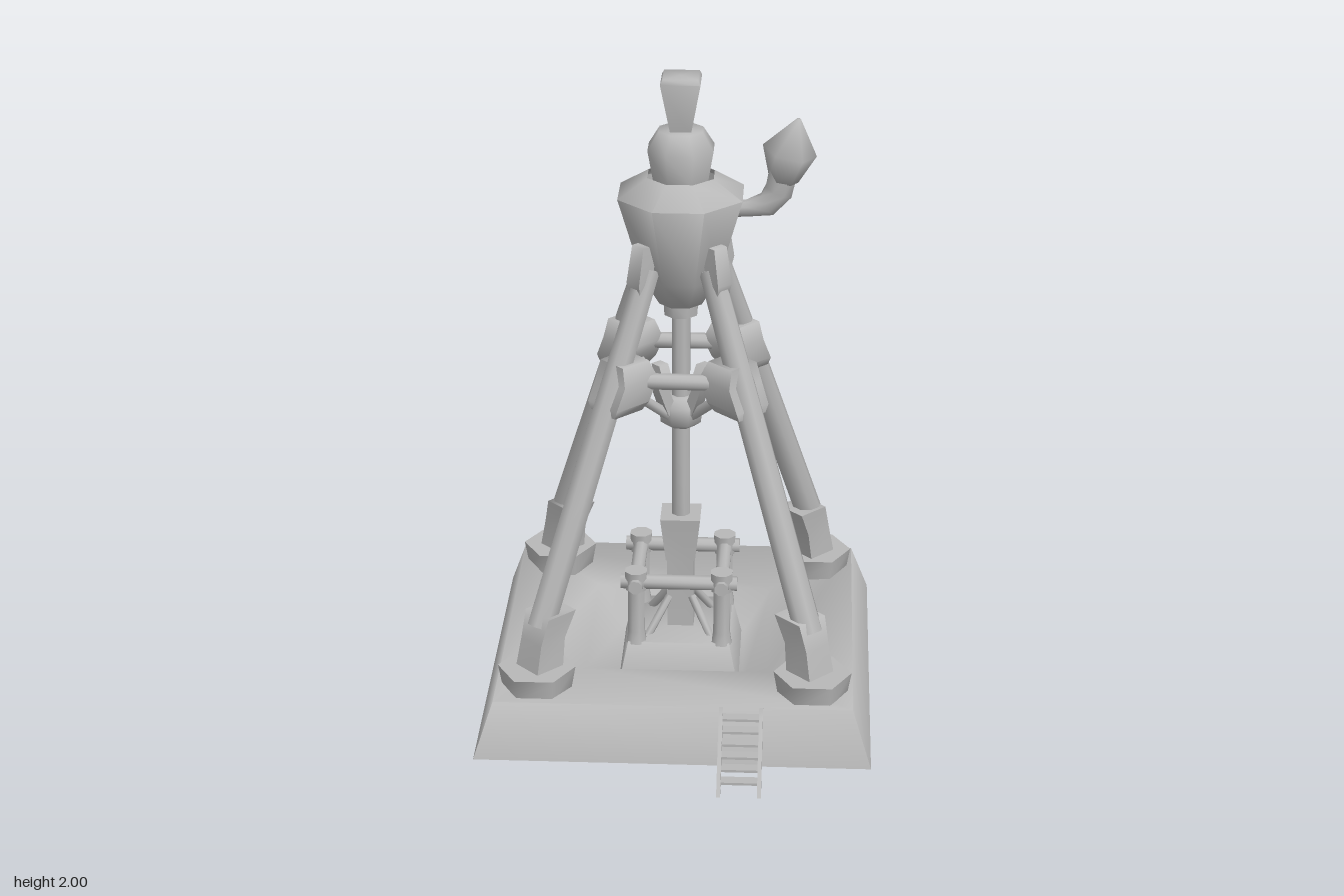
import * as THREE from 'three';
import { toCreasedNormals } from 'three/addons/utils/BufferGeometryUtils.js';

const metal = new THREE.MeshStandardMaterial({ color: 0xb8b8b8, side: THREE.DoubleSide });
metal.name = 'plain grey';

function part(parent, name, geometry, crease = 1.4) {
  const mesh = new THREE.Mesh(toCreasedNormals(geometry, crease), metal);
  mesh.name = name;
  parent.add(mesh);
  return mesh;
}

// Turned shape with flat sides facing the axes; profile holds [half width, y]
function turned(profile, sides) {
  const k = 1 / Math.cos(Math.PI / sides);
  const pts = profile.map(([w, y]) => new THREE.Vector2(w * k, y));
  return new THREE.LatheGeometry(pts, sides, Math.PI / sides);
}

// Tapered tube through nodes [x, y, z, radius], capped at both ends;
// level keeps every cross-section horizontal
function sweep(nodes, sides, { ref = [0, 0, 1], twist = Math.PI / sides, level = false } = {}) {
  const p = nodes.map(n => new THREE.Vector3(n[0], n[1], n[2]));
  const side = new THREE.Vector3(...ref);
  const pos = [], idx = [];
  p.forEach((c, i) => {
    const t = level ? new THREE.Vector3(0, 1, 0)
      : p[Math.min(i + 1, p.length - 1)].clone().sub(p[Math.max(i - 1, 0)]).normalize();
    const u = t.clone().cross(side).normalize();
    const v = t.clone().cross(u);
    for (let j = 0; j < sides; j++) {
      const a = twist + j / sides * Math.PI * 2;
      const q = c.clone().addScaledVector(u, Math.cos(a) * nodes[i][3])
        .addScaledVector(v, Math.sin(a) * nodes[i][3]);
      pos.push(q.x, q.y, q.z);
      const k = (j + 1) % sides;
      if (i > 0) {
        const a0 = (i - 1) * sides, b0 = i * sides;
        idx.push(a0 + j, a0 + k, b0 + k, a0 + j, b0 + k, b0 + j);
      }
    }
  });
  const last = (p.length - 1) * sides;
  for (let j = 1; j < sides - 1; j++) idx.push(0, j + 1, j, last, last + j, last + j + 1);
  const g = new THREE.BufferGeometry();
  g.setAttribute('position', new THREE.Float32BufferAttribute(pos, 3));
  g.setIndex(idx);
  return g;
}

// Node on the tower's diagonal: d is the offset along both x and z
const diagNode = (d, y, r) => [d, y, d, r];

// One quarter of the tower, repeated around the axis
function quarter(k) {
  const g = new THREE.Group();
  g.name = 'towerQuarter';
  const diag = { ref: [1, 0, 1] };
  const block = { ref: [1, 0, 1], level: true };
  const across = { ref: [1, 0, -1] };

  const pad = part(g, 'footPad', new THREE.CylinderGeometry(0.12, 0.105, 0.085, 6));
  pad.position.set(0.425, 0.1875, 0.425);
  pad.rotation.y = Math.PI / 2 - k * Math.PI / 2;

  part(g, 'footSleeve', sweep([
    diagNode(0.42, 0.2, 0.074), diagNode(0.405, 0.32, 0.067), diagNode(0.382, 0.405, 0.077)
  ], 4, block));
  part(g, 'leg', sweep([
    diagNode(0.41, 0.36, 0.045), diagNode(0.219, 1.0, 0.043), diagNode(0.094, 1.42, 0.038)
  ], 8, diag));
  part(g, 'legCollar', sweep([
    diagNode(0.188, 0.995, 0.078), diagNode(0.182, 1.02, 0.093),
    diagNode(0.157, 1.09, 0.095), diagNode(0.164, 1.15, 0.073)
  ], 4, block));
  part(g, 'topBracket', sweep([
    diagNode(0.115, 1.33, 0.03), diagNode(0.119, 1.385, 0.04), diagNode(0.106, 1.5, 0.036)
  ], 4, block));

  // Bracing between the legs
  part(g, 'crossBar', sweep([[-0.15, 1.08, 0.165, 0.025], [0.15, 1.08, 0.165, 0.025]], 8));
  part(g, 'hubStrut', sweep([diagNode(0.16, 1.05, 0.017), diagNode(0.035, 0.91, 0.017)], 6, across));
  part(g, 'hubGusset', sweep([diagNode(0.07, 1.04, 0.026), diagNode(0.035, 0.92, 0.028)], 4, block));

  // Guard rail around the shaft foot
  part(g, 'railPost', sweep([
    [0.135, 0.17, 0.135, 0.034], [0.135, 0.21, 0.135, 0.028], [0.135, 0.36, 0.135, 0.028]
  ], 8));
  part(g, 'railPostCap', sweep([[0.135, 0.355, 0.135, 0.034], [0.135, 0.42, 0.135, 0.037]], 8));
  part(g, 'guardRail', sweep([[-0.183, 0.38, 0.135, 0.023], [0.183, 0.38, 0.135, 0.023]], 8));
  part(g, 'footBrace', sweep([diagNode(0.1, 0.17, 0.013), diagNode(0.035, 0.28, 0.013)], 6, across));

  g.rotation.y = k * Math.PI / 2;
  return g;
}

function ladder() {
  const g = new THREE.Group();
  g.name = 'ladder';
  const side = new THREE.Shape([[0.7, 0], [0.635, 0], [0.455, 0.17], [0.515, 0.17]]
    .map(([z, y]) => new THREE.Vector2(-z, y)));
  for (const x of [0.143, 0.265]) {
    const rail = part(g, 'ladderRail', new THREE.ExtrudeGeometry(side, { depth: 0.012, bevelEnabled: false }));
    rail.rotation.y = Math.PI / 2;
    rail.position.x = x;
  }
  for (let i = 0; i < 6; i++) {
    const rung = part(g, 'ladderRung', new THREE.BoxGeometry(0.115, 0.008, 0.036));
    rung.position.set(0.21, 0.022 + i * 0.027, 0.64 - i * 0.029);
  }
  return g;
}

export function createModel() {
  const model = new THREE.Group();
  model.name = 'tower';
  const axis = new THREE.Group();
  axis.name = 'towerBody';
  axis.position.z = -0.092;
  model.add(axis, ladder());

  // Hollow plinth dipping into a sunken well, with a raised block in the middle
  part(axis, 'plinth', turned([
    [0.608, 0], [0.55, 0.17], [0.285, 0.148], [0.2, 0.04], [0, 0.04]
  ], 4));
  part(axis, 'railBlock', turned([[0.19, 0.04], [0.16, 0.177], [0, 0.177]], 4));

  for (let k = 0; k < 4; k++) axis.add(quarter(k));

  // Central shaft with its foot and hub
  part(axis, 'shaftFoot', turned([
    [0.042, 0.17], [0.042, 0.41], [0.046, 0.41], [0.063, 0.56], [0, 0.56]
  ], 4));
  part(axis, 'shaft', turned([[0.028, 0.5], [0.028, 1.26]], 8));
  part(axis, 'shaftHub', turned([
    [0, 0.868], [0.042, 0.868], [0.063, 0.885], [0.065, 0.94], [0.045, 0.97], [0, 0.97]
  ], 8));
  part(axis, 'shaftCollar', turned([[0, 1.24], [0.05, 1.24], [0.053, 1.29]], 8));

  // Faceted tank, neck and cap
  part(axis, 'tank', turned([
    [0, 1.28], [0.065, 1.28], [0.115, 1.37], [0.188, 1.632], [0.1, 1.69]
  ], 8));
  part(axis, 'tankNeck', turned([
    [0.083, 1.68], [0.099, 1.775], [0.066, 1.832], [0, 1.832]
  ], 8));
  part(axis, 'topCap', turned([
    [0.03, 1.82], [0.06, 1.985], [0.053, 2], [0, 2]
  ], 4));

  // Side arm with a faceted bulb
  part(axis, 'sideArm', sweep([
    [0.14, 1.58, 0, 0.024], [0.2, 1.585, 0, 0.026], [0.26, 1.6, 0.003, 0.038],
    [0.295, 1.645, 0.005, 0.045], [0.31, 1.72, 0.007, 0.046]
  ], 8));
  part(axis, 'armBulb', sweep([
    [0.309, 1.68, 0.008, 0.045], [0.326, 1.775, 0.014, 0.083], [0.352, 1.878, 0.025, 0.006]
  ], 6, { twist: 0 }));

  return model;
}
